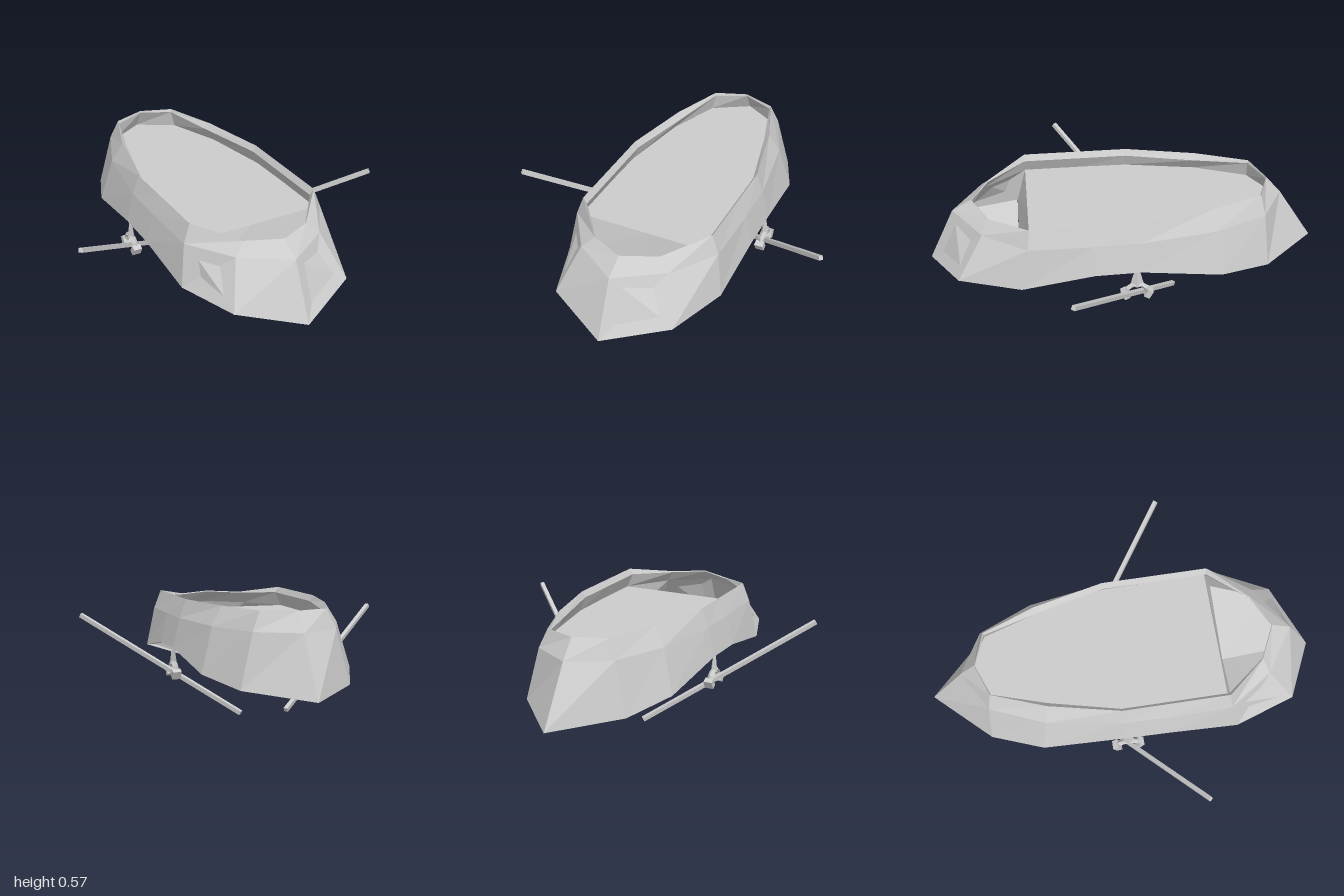
import * as THREE from 'three';

const material = new THREE.MeshStandardMaterial({ color: 0xcccccc, flatShading: true, side: THREE.DoubleSide });

// Half sections of the upturned hull from bow to stern:
// floor edge, inner lip, bottom rim, chine, gunwale, inner gunwale (each x, y, z)
const stations = [
  [[0, 0.47, 0.86], [0, 0.535, 0.768], [0, 0.54, 0.77], [0, 0.48, 0.87], [0, 0.2, 1], [0, 0.21, 0.98]],
  [[0.21, 0.47, 0.71], [0.168, 0.53, 0.685], [0.17, 0.535, 0.69], [0.23, 0.48, 0.72], [0.31, 0.27, 0.85], [0.3, 0.275, 0.835]],
  [[0.36, 0.47, 0.49], [0.325, 0.545, 0.49], [0.345, 0.575, 0.49], [0.38, 0.48, 0.5], [0.415, 0.27, 0.54], [0.375, 0.27, 0.54]],
  [[0.36, 0.47, 0.18], [0.325, 0.545, 0.18], [0.345, 0.575, 0.18], [0.385, 0.48, 0.18], [0.42, 0.33, 0.18], [0.38, 0.33, 0.18]],
  [[0.355, 0.47, -0.05], [0.325, 0.545, -0.05], [0.345, 0.575, -0.05], [0.38, 0.48, -0.05], [0.415, 0.33, -0.05], [0.375, 0.33, -0.05]],
  [[0.29, 0.47, -0.41], [0.24, 0.545, -0.405], [0.265, 0.575, -0.41], [0.32, 0.48, -0.43], [0.38, 0.255, -0.46], [0.34, 0.255, -0.44]],
  [[0.185, 0.47, -0.68], [0.16, 0.56, -0.675], [0.165, 0.575, -0.68], [0.205, 0.48, -0.7], [0.27, 0.215, -0.72], [0.24, 0.215, -0.69]],
  [[0, 0.47, -0.79], [0, 0.565, -0.738], [0, 0.575, -0.74], [0, 0.48, -0.82], [0, 0.195, -1], [0, 0.2, -0.94]],
];

const flip = ([x, y, z]) => [-x, y, z];

function mesh(name, geometry) {
  const m = new THREE.Mesh(geometry, material);
  m.name = name;
  return m;
}

// Surface through rows of points with one hard-edged quad per cell
function loft(rows) {
  const points = [];
  for (let i = 0; i < rows.length - 1; i++) {
    for (let j = 0; j < rows[i].length - 1; j++) {
      const a = rows[i][j], b = rows[i][j + 1], c = rows[i + 1][j], d = rows[i + 1][j + 1];
      points.push(...a, ...c, ...b, ...b, ...c, ...d);
    }
  }
  const g = new THREE.BufferGeometry();
  g.setAttribute('position', new THREE.Float32BufferAttribute(points, 3));
  g.computeVertexNormals();
  return g;
}

// Closed loop round the boat at one level of the section
function ring(level) {
  const half = stations.map((s) => s[level]);
  return [...half, ...half.slice(0, -1).reverse().map(flip)];
}

export function createModel() {
  const boat = new THREE.Group();
  boat.name = 'upturnedRowingBoat';

  // Outer skin, gunwale and inner lining in one closed wrap
  boat.add(mesh('hull', loft([0, 1, 2, 3, 4, 5, 0].map(ring))));

  // Recessed floor from the stern to the bulkhead
  const edges = stations.slice(2).map((s) => s[0]).reverse();
  boat.add(mesh('floor', loft(edges.map((p) => [flip(p), [0, p[1], p[2]], p]))));

  // Sloping bulkhead between the floor and the foredeck
  const keel = [0, 0.13, 0.55];
  const floorEnd = stations[2][0];
  const deckEnd = stations[2][5];
  boat.add(mesh('bulkhead', loft([
    [flip(floorEnd), [0, floorEnd[1], floorEnd[2]], floorEnd],
    [flip(deckEnd), keel, deckEnd],
  ])));

  // Two-sided foredeck with a central ridge
  const gunwale = stations.slice(0, 3).map((s) => s[4]);
  const rim = [...gunwale.slice(1).reverse().map(flip), ...gunwale];
  boat.add(mesh('foredeck', loft([rim, rim.map(() => keel)])));

  // Cross benches
  for (const z of [0.32, 0.03]) {
    const bench = mesh('bench', new THREE.BoxGeometry(0.7, 0.03, 0.18));
    bench.position.set(0, 0.425, z);
    boat.add(bench);
  }

  for (const side of [1, -1]) {
    // Oar: a slim square rod through the rowlock
    const low = new THREE.Vector3(side * 0.12, 0.014, -0.255);
    const high = new THREE.Vector3(side * 0.82, 0.472, 0.31);
    const dir = high.clone().sub(low);
    const oar = mesh('oar', new THREE.CylinderGeometry(0.015, 0.015, dir.length(), 4));
    oar.position.copy(low).add(high).multiplyScalar(0.5);
    oar.quaternion.setFromUnitVectors(new THREE.Vector3(0, 1, 0), dir.normalize());
    boat.add(oar);

    // Rowlock: tapered stem and a fork opening downwards
    const rowlock = new THREE.Group();
    rowlock.name = 'rowlock';
    rowlock.position.set(side * 0.408, 0.2, -0.028);
    const stem = mesh('rowlockStem', new THREE.CylinderGeometry(0.014, 0.036, 0.09, 4));
    stem.position.y = 0.09;
    stem.scale.x = 0.5;
    const fork = mesh('rowlockFork', new THREE.TorusGeometry(0.056, 0.015, 4, 5, Math.PI));
    fork.rotation.y = Math.PI / 2;
    rowlock.add(stem, fork);
    for (const end of [1, -1]) {
      const tip = mesh('rowlockTip', new THREE.BoxGeometry(0.045, 0.045, 0.03));
      tip.position.set(0, 0, end * 0.058);
      tip.rotation.x = end * 0.5;
      rowlock.add(tip);
    }
    boat.add(rowlock);
  }
  return boat;
}
